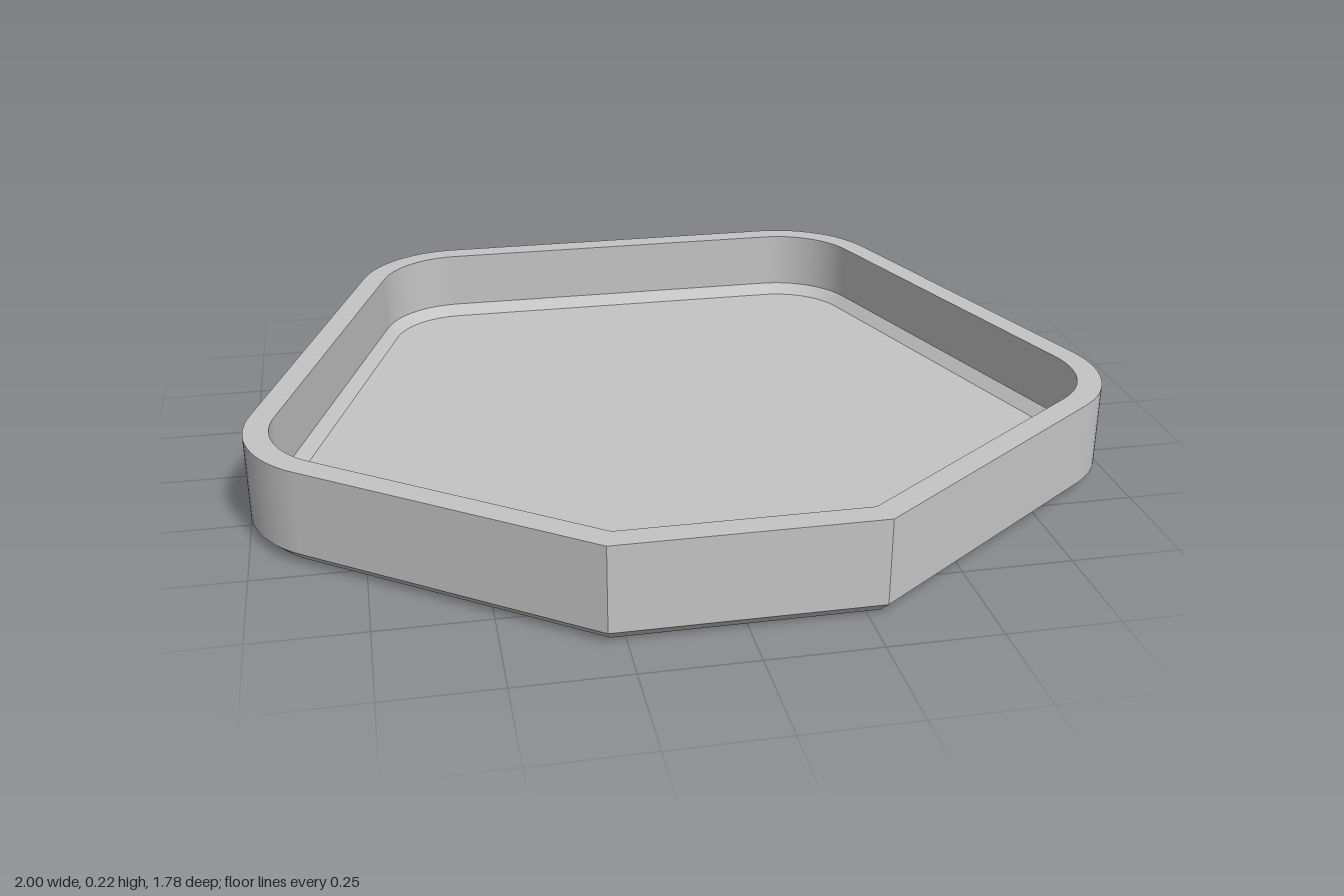
import * as THREE from 'three';

const CENTRES = 0.766;   // distance of the corner-arc centres from the middle
const RADIUS = 0.27;     // outer corner radius
const APOTHEM = 0.89;    // middle to each flat side
const ARC_STEPS = 16;
const rad = THREE.MathUtils.degToRad;

// Pentagon with four rounded corners and a cut-off front corner, inset by d.
// Runs counter-clockwise seen from above; each point carries its outward normal.
function outline(d) {
  const pts = [];
  const a = APOTHEM - d;
  const nx = Math.cos(rad(54)), nz = Math.sin(rad(54));
  const cornerX = a * (1 - nz) / nx;
  pts.push({ x: cornerX, z: a, nx, nz });
  for (let k = 0; k < 4; k++) {
    const mid = 18 - 72 * k;
    const cx = CENTRES * Math.cos(rad(mid)), cz = CENTRES * Math.sin(rad(mid));
    for (let i = 0; i <= ARC_STEPS; i++) {
      const t = rad(mid + 36 - 72 * i / ARC_STEPS);
      const c = Math.cos(t), s = Math.sin(t);
      pts.push({ x: cx + c * (RADIUS - d), z: cz + s * (RADIUS - d), nx: c, nz: s });
    }
  }
  pts.push({ x: -cornerX, z: a, nx: -nx, nz });
  // The front edge repeats its corners so that they stay sharp
  pts.push({ x: -cornerX, z: a, nx: 0, nz: 1 }, { x: cornerX, z: a, nx: 0, nz: 1 });
  return pts;
}

// Band between two inset outlines, smooth round the corners
function band([d0, y0], [d1, y1]) {
  const a = outline(d0), b = outline(d1);
  const len = Math.hypot(d1 - d0, y1 - y0);
  const out = (y1 - y0) / len, up = (d1 - d0) / len;
  const pos = [], nor = [], idx = [];
  a.forEach((p, i) => {
    const q = b[i];
    pos.push(p.x, y0, p.z, q.x, y1, q.z);
    for (let k = 0; k < 2; k++) nor.push(p.nx * out, up, p.nz * out);
    if (i < a.length - 1) {
      const j = i * 2;
      idx.push(j, j + 2, j + 3, j, j + 3, j + 1);
    }
  });
  const g = new THREE.BufferGeometry();
  g.setAttribute('position', new THREE.Float32BufferAttribute(pos, 3));
  g.setAttribute('normal', new THREE.Float32BufferAttribute(nor, 3));
  g.setIndex(idx);
  return g;
}

// Flat plate filling an inset outline, facing up (1) or down (-1)
function plate(d, y, facing) {
  const pts = outline(d).slice(0, -2).map(p => new THREE.Vector2(p.x, -facing * p.z));
  return new THREE.ShapeGeometry(new THREE.Shape(pts))
    .rotateX(-facing * Math.PI / 2).translate(0, y, 0);
}

export function createModel() {
  const group = new THREE.Group();
  group.name = 'tray';
  const grey = new THREE.MeshStandardMaterial({ color: 0xc4c4c4 });
  grey.name = 'light grey';

  const add = (name, geometry) => {
    const mesh = new THREE.Mesh(geometry, grey);
    mesh.name = name;
    group.add(mesh);
  };

  // Wall cross-section as [inset, height], from the underside over the rim to the floor
  const section = [[0.027, 0], [0, 0.027], [0, 0.225], [0.057, 0.225], [0.057, 0.081], [0.083, 0.055]];
  const names = ['bottomChamfer', 'outerWall', 'rim', 'innerWall', 'floorChamfer'];
  names.forEach((name, i) => add(name, band(section[i], section[i + 1])));

  add('floor', plate(0.083, 0.055, 1));
  add('underside', plate(0.027, 0, -1));
  return group;
}
